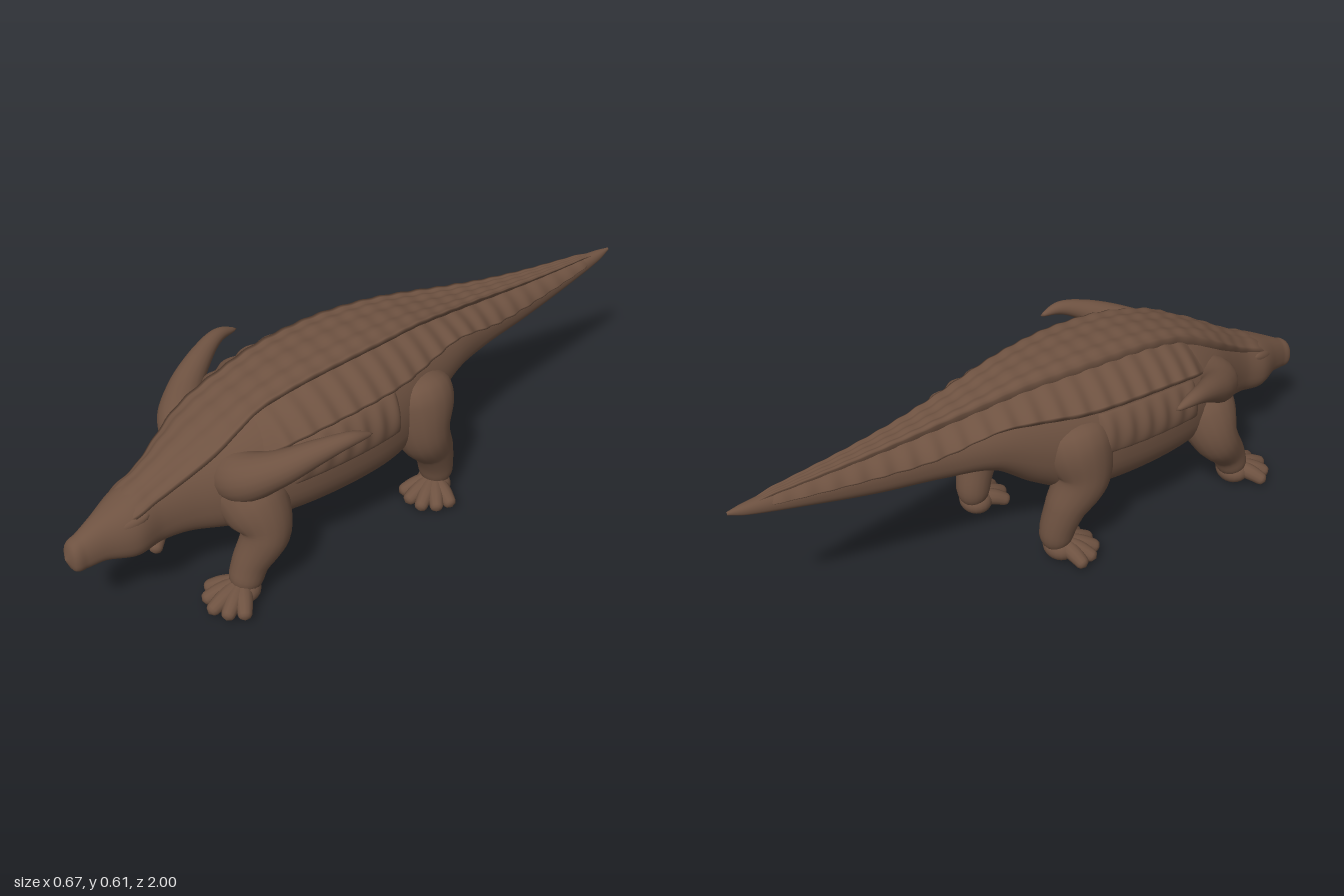
import * as THREE from 'three';
import { mergeVertices } from 'three/addons/utils/BufferGeometryUtils.js';

// Body stations from tail tip to snout: z, top, bottom, half width
const BODY = [
  [-1, 0.492, 0.484, 0.004], [-0.95, 0.497, 0.465, 0.017], [-0.8, 0.503, 0.43, 0.038],
  [-0.6, 0.515, 0.39, 0.065], [-0.4, 0.535, 0.367, 0.1], [-0.25, 0.56, 0.345, 0.145],
  [-0.12, 0.584, 0.25, 0.185], [0, 0.594, 0.185, 0.22], [0.12, 0.596, 0.172, 0.238],
  [0.3, 0.582, 0.17, 0.235], [0.45, 0.546, 0.176, 0.208], [0.56, 0.504, 0.185, 0.165],
  [0.66, 0.455, 0.2, 0.11], [0.74, 0.413, 0.2, 0.085], [0.82, 0.38, 0.193, 0.087],
  [0.9, 0.34, 0.21, 0.054], [0.95, 0.313, 0.207, 0.04], [0.985, 0.293, 0.213, 0.033],
  [1, 0.252, 0.251, 0.001],
];

// Smooth interpolation of column k in a table keyed by its first column
function at(rows, x, k) {
  const n = rows.length;
  let i = 0;
  while (i < n - 2 && rows[i + 1][0] <= x) i++;
  const slope = (j) => {
    const a = rows[Math.max(j - 1, 0)], b = rows[Math.min(j + 1, n - 1)];
    return (b[k] - a[k]) / (b[0] - a[0]);
  };
  const h = rows[i + 1][0] - rows[i][0], t = (x - rows[i][0]) / h, t2 = t * t, t3 = t2 * t;
  return rows[i][k] * (2 * t3 - 3 * t2 + 1) + rows[i + 1][k] * (3 * t2 - 2 * t3)
    + h * (slope(i) * (t3 - 2 * t2 + t) + slope(i + 1) * (t3 - t2));
}

const pow = (v, e) => Math.sign(v) * Math.abs(v) ** e;
const rad = THREE.MathUtils.degToRad;
const blend = THREE.MathUtils.smoothstep;

// Point on the body at z and angle t from the spine, pushed out by lift;
// the tail bends slightly to the left
function skin(z, t, lift = 0) {
  const top = at(BODY, z, 1), bottom = at(BODY, z, 2), w = Math.max(at(BODY, z, 3), 0.001);
  const mid = bottom + 0.45 * (top - bottom), c = Math.cos(t), s = Math.sin(t);
  const y = c > 0 ? (top - mid) * c : (mid - bottom) * pow(c, 0.8);
  return [w * pow(s, 0.85) + lift * s + 0.015 * blend(-z, 0.2, 1), mid + y + lift * c, z];
}

function smooth(geometry) {
  geometry.deleteAttribute('uv');
  geometry.deleteAttribute('normal');
  const g = mergeVertices(geometry, 1e-5);
  g.computeVertexNormals();
  return g;
}

// Surface from rows of points
function grid(rows, cols, point) {
  const pos = [], index = [];
  for (let i = 0; i <= rows; i++) {
    for (let j = 0; j <= cols; j++) {
      pos.push(...point(i / rows, j / cols));
      if (i < rows && j < cols) {
        const a = i * (cols + 1) + j, b = a + cols + 1;
        index.push(a, a + 1, b, b, a + 1, b + 1);
      }
    }
  }
  const g = new THREE.BufferGeometry();
  g.setAttribute('position', new THREE.Float32BufferAttribute(pos, 3));
  g.setIndex(index);
  return smooth(g);
}

// Armour shell over the body between two angles, closed underneath
function armour(z0, z1, range, lift) {
  return grid(Math.round((z0 - z1) / 0.007), 40, (u, v) => {
    const z = z0 + (z1 - z0) * u;
    const [t0, t1] = range(z);
    const outer = v > 0 && v <= 0.5;
    const k = v <= 0.5 ? v * 2 : 2 - v * 2;
    const ends = blend(u, 0, 0.07) * (1 - blend(u, 0.94, 1));
    const size = Math.min(1, at(BODY, z, 3) / 0.1);
    const up = outer ? lift(k, z) * ends * size - 0.006 * (1 - ends) : -0.008 * size;
    return skin(z, t0 + (t1 - t0) * k, up);
  });
}

// Tube with a radius for each control point and rounded ends
function limb(points, radii, segments = 32, sides = 18) {
  const curve = new THREE.CatmullRomCurve3(points.map((p) => new THREE.Vector3(...p)));
  const rows = radii.map((r, i) => [i / (radii.length - 1), r]);
  const g = new THREE.TubeGeometry(curve, segments, 1, sides);
  const pos = g.attributes.position, p = new THREE.Vector3();
  for (let i = 0; i <= segments; i++) {
    const u = i / segments, c = curve.getPointAt(u);
    const e = Math.min(1, Math.min(u, 1 - u) / 0.14);
    const r = Math.max(at(rows, curve.getUtoTmapping(u), 1), 0.001) * Math.sqrt(e * (2 - e));
    for (let j = 0; j <= sides; j++) {
      const n = i * (sides + 1) + j;
      p.fromBufferAttribute(pos, n).sub(c).multiplyScalar(r).add(c);
      pos.setXYZ(n, p.x, p.y, p.z);
    }
  }
  return smooth(g);
}

export function createModel() {
  const model = new THREE.Group();
  const hide = new THREE.MeshStandardMaterial({ color: 0x6e5241 });
  hide.name = 'brown hide';
  const add = (name, geometry, parent = model) => {
    const m = new THREE.Mesh(geometry, hide);
    m.name = name;
    parent.add(m);
    return m;
  };

  // Head, trunk and tail in one loft, with rows packed towards the snout
  add('body', grid(220, 48, (u, v) => skin(1 - 2 * u ** 1.3, v * Math.PI * 2)));

  // Strip along the spine with lengthwise ridges, wider over the neck
  const spineHalf = (z) => rad(25 + 27 * blend(z, 0.4, 0.75));
  add('dorsalArmour', armour(0.88, -0.97, (z) => [-spineHalf(z), spineHalf(z)], (k, z) => {
    const x = Math.abs(k * 2 - 1), neck = 1 - 0.6 * blend(z, 0.55, 0.8);
    return (0.01 + 0.015 * x * x) * neck + 0.0015 * Math.cos(z * 95) + 0.003 * Math.cos(x * 14);
  }));

  for (const s of [1, -1]) {
    const side = s > 0 ? 'left' : 'right';
    const span = (a, b) => (s > 0 ? [a, b] : [-b, -a]);
    const outward = (k) => (s > 0 ? k : 1 - k);

    // Ribbed side plates with a flared lower edge
    add(side + 'SideArmour', armour(0.5, -0.93,
      (z) => span(rad(20), rad(57 + 18 * blend(-z, 0.2, 0.5))),
      (k, z) => 0.007 + 0.014 * outward(k) ** 2
        + 0.005 * Math.cos(z * 88 + outward(k)) * (0.4 + 0.6 * outward(k))));

    // Lower flank plates, fading into the skin
    add(side + 'FlankArmour', armour(0.42, 0.03, () => span(rad(56), rad(90)),
      (k, z) => 0.014 * Math.sin(Math.PI * k) ** 0.5 - 0.001
        + 0.004 * Math.sin(Math.PI * k) * Math.cos(z * 100)));

    // Curved shoulder spike
    add(side + 'ShoulderSpike', limb(
      [[0.06, 0.37, 0.52], [0.15, 0.395, 0.525], [0.225, 0.437, 0.47], [0.285, 0.487, 0.37],
        [0.316, 0.509, 0.29], [0.324, 0.499, 0.22]].map(([x, y, z]) => [x * s, y, z]),
      [0.08, 0.074, 0.053, 0.034, 0.021, 0.01], 40));

    // Brow ridge
    const brow = add(side + 'Brow', new THREE.SphereGeometry(0.024, 20, 14));
    brow.scale.set(0.9, 0.9, 2.4);
    brow.position.set(0.054 * s, 0.324, 0.825);
    brow.rotation.set(0.35, -0.3 * s, 0);

    // Legs: the two sides are at different points of the stride
    const foot = (parent, x, z, turn, length) => {
      const sole = add('sole', new THREE.SphereGeometry(1, 20, 14), parent);
      sole.scale.set(0.056, 0.042, 0.05);
      sole.position.set(x * s, 0.045, z);
      for (let i = -2; i <= 2; i++) {
        const a = turn + i * 0.46, l = length * (1 - 0.05 * Math.abs(i));
        const on = (d, y) => [(x + Math.sin(a) * d) * s, y, z + Math.cos(a) * d];
        add('toe', limb([on(0, 0.058), on(l * 0.55, 0.044), on(l, 0.022)],
          [0.028, 0.025, 0.018], 16, 12), parent);
      }
    };
    const front = new THREE.Group();
    front.name = side + 'FrontLeg';
    const fz = s > 0 ? 0 : 0.035;
    add('frontLimb', limb(
      [[0.08, 0.35, 0.5], [0.155, 0.29, 0.495], [0.197, 0.22, 0.495 + fz / 3],
        [0.188, 0.12, 0.545 + fz], [0.188, 0.035, 0.575 + fz]].map(([x, y, z]) => [x * s, y, z]),
      [0.11, 0.1, 0.073, 0.053, 0.05]), front);
    foot(front, 0.186, 0.572 + fz, 0.1, 0.125);

    const hind = new THREE.Group();
    hind.name = side + 'HindLeg';
    const hz = s > 0 ? 0 : 0.08;
    add('hindLimb', limb(
      [[0.1, 0.46, -0.08], [0.142, 0.385, -0.08], [0.178, 0.285, -0.08],
        [0.172, 0.19, -0.13], [0.162, 0.1, -0.155], [0.162, 0.035, -0.15]]
        .map(([x, y, z]) => [x * s, y, z + hz]),
      [0.09, 0.115, 0.086, 0.063, 0.053, 0.05], 40), hind);
    foot(hind, 0.166, -0.145 + hz, 0.5, 0.12);
    model.add(front, hind);
  }
  return model;
}
